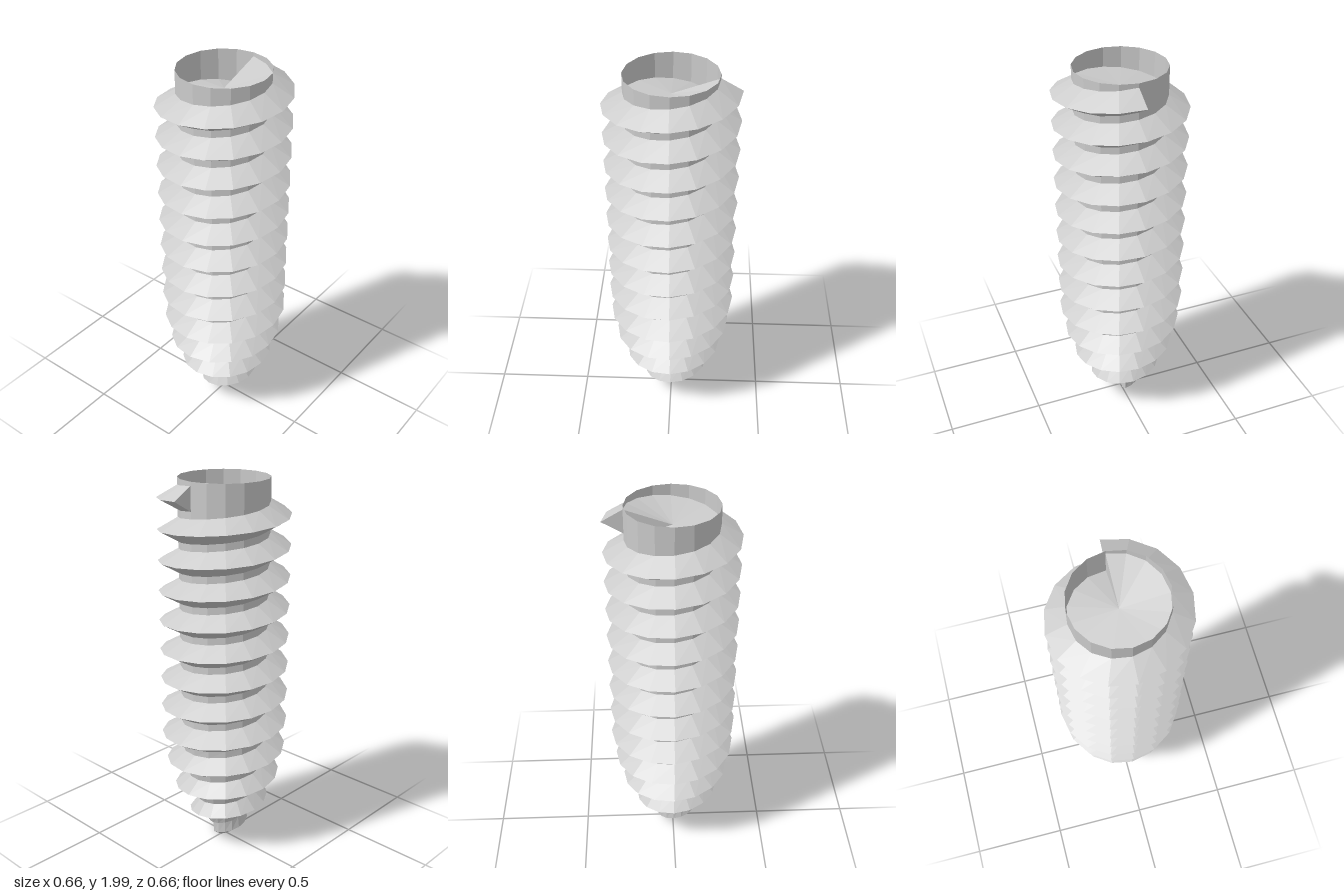
import * as THREE from 'three';

const SIDES = 16, TURNS = 12, PITCH = 0.156, STEPS = SIDES * TURNS;
const START = 0.048; // height of the crest where the thread begins

// radius tables [height, radius], linearly interpolated
const CREST = [[0.01, 0.04], [0.05, 0.085], [0.1, 0.122], [0.14, 0.155], [0.2, 0.2], [0.28, 0.245],
  [0.35, 0.27], [0.43, 0.298], [0.51, 0.311], [0.58, 0.325], [0.65, 0.332]];
const ROOT = [[0.01, 0.03], [0.05, 0.055], [0.13, 0.1], [0.2, 0.118], [0.27, 0.155], [0.34, 0.18],
  [0.42, 0.2], [0.5, 0.215], [0.6, 0.228]];

function radiusAt(table, y) {
  if (y <= table[0][0]) return table[0][1];
  for (let k = 1; k < table.length; k++) {
    const [y0, r0] = table[k - 1], [y1, r1] = table[k];
    if (y <= y1) return r0 + (r1 - r0) * (y - y0) / (y1 - y0);
  }
  return table[table.length - 1][1];
}

// thread cross-section at a step: root flat, lower flank, crest, upper flank
function profile(i) {
  const turn = i / SIDES, y = START + PITCH * turn;
  const floor = 0.01 + 0.097 * turn; // keeps the first turn above the tip
  const root = h => {
    const hy = Math.max(h, turn < 1 ? floor : 0);
    return [radiusAt(ROOT, hy), hy];
  };
  return [root(y - 0.096), root(y - 0.06), [radiusAt(CREST, y), y], root(y + 0.06)];
}

// point on the screw at a step, from radius and height
function place(i, [r, y]) {
  const a = i / SIDES * Math.PI * 2;
  return [r * Math.cos(a), y, -r * Math.sin(a)];
}

// faceted surface over a grid of points
function surface(name, cols, rows, point) {
  const pos = [], index = [];
  for (let i = 0; i <= cols; i++) for (let j = 0; j <= rows; j++) pos.push(...point(i, j));
  for (let i = 0; i < cols; i++) for (let j = 0; j < rows; j++) {
    const a = i * (rows + 1) + j, b = a + rows + 1;
    index.push(a, b, b + 1, a, b + 1, a + 1);
  }
  const geo = new THREE.BufferGeometry();
  geo.setAttribute('position', new THREE.Float32BufferAttribute(pos, 3));
  geo.setIndex(index);
  geo.computeVertexNormals();
  const mat = new THREE.MeshStandardMaterial({ color: 0xcccccc, flatShading: true, side: THREE.DoubleSide });
  const mesh = new THREE.Mesh(geo, mat);
  mesh.name = name;
  return mesh;
}

export function createModel() {
  const group = new THREE.Group();
  group.name = 'screw';
  const last = STEPS - SIDES;
  const topCentre = [0, 1.9, 0], tipCentre = [0, 0.04, 0];
  const upperRoot = i => place(last + i, profile(last + i)[3]);

  // continuous helical thread with the core between its turns
  group.add(surface('thread', STEPS, 3, (i, j) => place(i, profile(i)[j])));

  // collar wall from the last turn up to the rim
  group.add(surface('collar', SIDES, 1, (i, j) => j ? place(i, [0.228, 2]) : upperRoot(i)));

  // spiral floor sunk inside the collar
  group.add(surface('collarFloor', SIDES, 1, (i, j) => j ? topCentre : upperRoot(i)));

  // pointed underside below the first turn
  group.add(surface('tip', SIDES, 1, (i, j) => j ? place(i, profile(i)[0]) : tipCentre));

  // flat ends of the thread
  group.add(surface('threadTopEnd', 3, 1, (i, j) => j ? place(STEPS, profile(STEPS)[i]) : topCentre));
  group.add(surface('threadTipEnd', 3, 1, (i, j) => j ? tipCentre : place(0, profile(0)[i])));
  return group;
}
